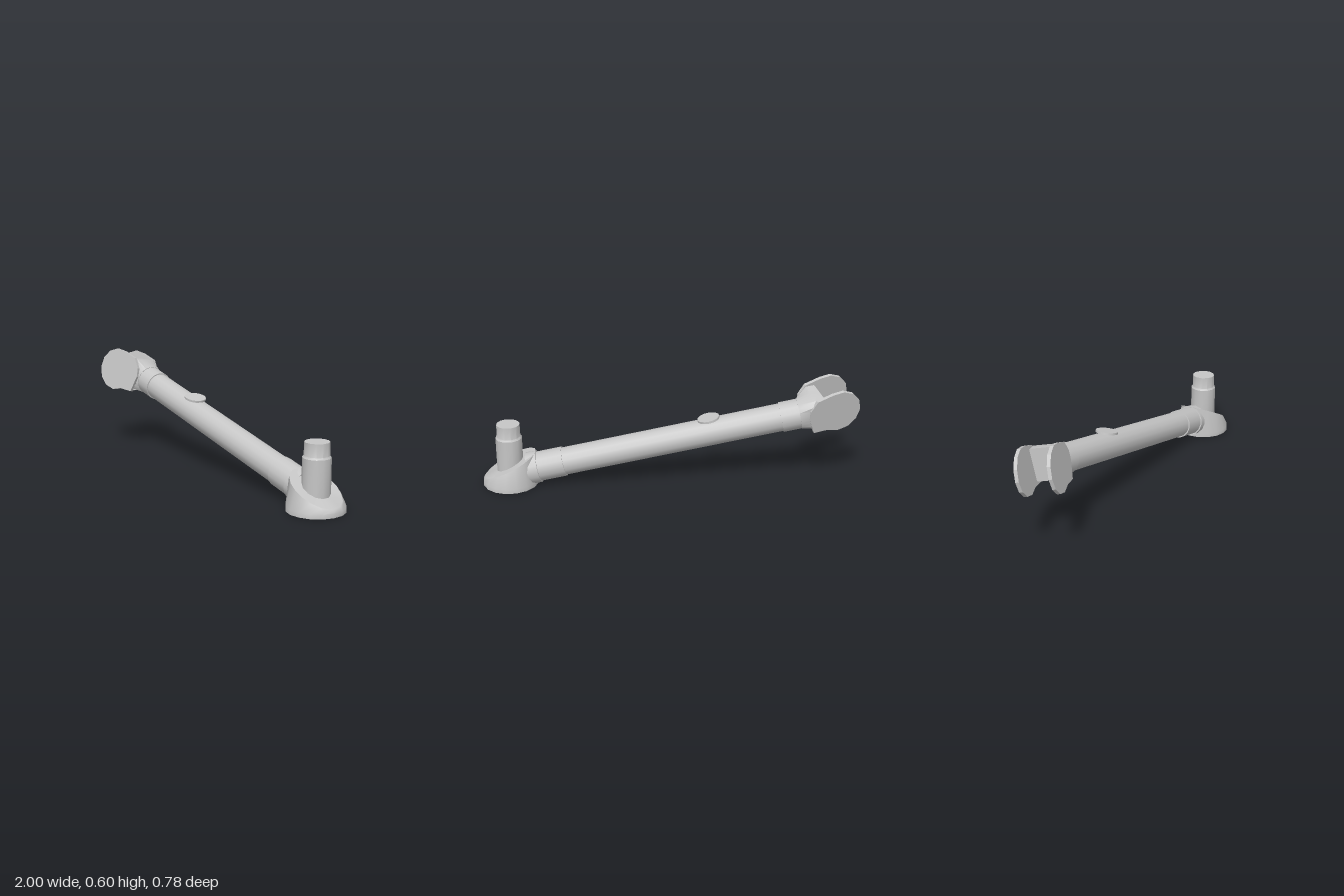
import * as THREE from 'three';
import { toCreasedNormals } from 'three/addons/utils/BufferGeometryUtils.js';

const V = (x, y, z) => new THREE.Vector3(x, y, z);
// Point on the sloping arm axis at a given x
const axisAt = (x) => V(x, 0.261 - 0.23 * x, -0.05 + 0.32 * x);

// Surface through rings of equal point count, with optional flat ends
function loft(rings, capStart, capEnd) {
  const n = rings[0].length, pos = [];
  const tri = (a, b, c) => pos.push(...a.toArray(), ...b.toArray(), ...c.toArray());
  for (let r = 0; r < rings.length - 1; r++) {
    for (let i = 0; i < n; i++) {
      const j = (i + 1) % n, A = rings[r], B = rings[r + 1];
      tri(A[i], A[j], B[j]);
      tri(A[i], B[j], B[i]);
    }
  }
  const cap = (ring, flip) => {
    const c = ring.reduce((s, p) => s.add(p), V(0, 0, 0)).divideScalar(n);
    for (let i = 0; i < n; i++) {
      const a = ring[i], b = ring[(i + 1) % n];
      if (flip) tri(c, b, a); else tri(c, a, b);
    }
  };
  if (capStart) cap(rings[0], true);
  if (capEnd) cap(rings[rings.length - 1], false);
  const g = new THREE.BufferGeometry();
  g.setAttribute('position', new THREE.Float32BufferAttribute(pos, 3));
  return toCreasedNormals(g, 0.65);
}

export function createModel() {
  const model = new THREE.Group();
  const grey = new THREE.MeshStandardMaterial({ color: 0xc6c6c6, side: THREE.DoubleSide });
  grey.name = 'grey';
  const add = (name, geo) => {
    const m = new THREE.Mesh(geo, grey);
    m.name = name;
    model.add(m);
    return m;
  };
  const up = V(0, 1, 0);
  const dir = axisAt(-1).sub(axisAt(0)).normalize();

  // Arm tube and its collars, all on one axis
  const rod = (name, x0, x1, r) => {
    const a = axisAt(x0), b = axisAt(x1);
    const m = add(name, new THREE.CylinderGeometry(r, r, a.distanceTo(b), 16));
    m.position.copy(a).add(b).multiplyScalar(0.5);
    m.quaternion.setFromUnitVectors(up, dir);
  };
  rod('armTube', 0.6, -0.62, 0.077);
  rod('lowerCollar', 0.7, 0.555, 0.083);
  rod('lowerSocket', 0.745, 0.69, 0.09);
  rod('upperCollar', -0.585, -0.69, 0.083);

  // Round button lying on top of the tube
  const normal = up.clone().addScaledVector(dir, -up.dot(dir)).normalize();
  const button = add('button', new THREE.CylinderGeometry(0.061, 0.061, 0.012, 20));
  button.position.copy(axisAt(-0.222)).addScaledVector(normal, 0.08);
  button.quaternion.setFromUnitVectors(up, normal);

  // Hollow foot: tapered wall cut off by a slanted plane, steeper toward the arm
  const foot = V(0.842, 0, 0.232), sides = 16, heading = Math.atan2(0.3, 0.95);
  const footRing = (heightAt) => Array.from({ length: sides }, (_, i) => {
    const t = -i / sides * Math.PI * 2, along = Math.cos(t - heading);
    let r = 0.155, y = 0;
    for (let k = 0; k < 8; k++) {
      y = heightAt(r * along);
      r = 0.155 - 0.33 * (1 + 0.85 * along) * Math.max(0, y - 0.025);
    }
    return V(foot.x + r * Math.cos(t), y, foot.z + r * Math.sin(t));
  });
  add('foot', loft([footRing(() => 0), footRing(() => 0.025), footRing((s) => 0.115 - 0.51 * s)], false, true));

  // Stepped upright post, its lower end following the slanted face
  const postRing = (r, y) => Array.from({ length: 12 }, (_, i) => {
    const t = -i / 12 * Math.PI * 2, c = Math.cos(t), s = Math.sin(t);
    const h = y ?? 0.11 - 0.51 * r * (0.95 * c + 0.3 * s);
    return V(foot.x + r * c, h, foot.z + r * s);
  });
  add('post', loft([postRing(0.074), postRing(0.074, 0.275), postRing(0.066, 0.285), postRing(0.065, 0.355)], false, true));

  // Fork frame, rolled slightly about x
  const fork = new THREE.Group();
  fork.name = 'fork';
  fork.position.set(-0.875, 0.46, -0.272);
  fork.rotation.x = -0.2;
  model.add(fork);

  // Two rounded cheeks with a tapering root
  const outline = new THREE.Shape();
  for (let i = 0; i <= 8; i++) {
    const t = Math.PI * (0.36 + 1.28 * i / 8);
    const x = Math.cos(t) * 0.125, y = Math.sin(t) * 0.125;
    if (i) outline.lineTo(x, y); else outline.moveTo(x, y);
  }
  outline.lineTo(0.135, -0.122);
  outline.lineTo(0.172, -0.03);
  outline.lineTo(0.172, 0.02);
  outline.lineTo(0.14, 0.08);
  const cheek = new THREE.ExtrudeGeometry(outline, { depth: 0.019, bevelEnabled: false });
  for (const [name, z] of [['frontCheek', 0.076], ['backCheek', -0.095]]) {
    const m = new THREE.Mesh(toCreasedNormals(cheek, 0.3), grey);
    m.name = name;
    m.position.z = z;
    fork.add(m);
  }

  // Root block blending from a rectangle into the round collar
  fork.updateMatrix();
  const inverse = fork.matrix.clone().invert();
  const end = axisAt(-0.68).applyMatrix4(inverse);
  const axis = dir.clone().transformDirection(inverse);
  const n = 24;
  const rootRing = (x, hy, hz, cy) => Array.from({ length: n }, (_, i) => {
    const t = (i + 0.5) / n * Math.PI * 2, c = Math.cos(t), s = Math.sin(t);
    const k = 1 / Math.max(Math.abs(c), Math.abs(s));
    return V(x, cy + hy * c * k, hz * s * k);
  });
  const collarRing = Array.from({ length: n }, (_, i) => {
    const t = (i + 0.5) / n * Math.PI * 2;
    const p = V(0, Math.cos(t), Math.sin(t));
    p.addScaledVector(axis, -p.dot(axis)).normalize().multiplyScalar(0.085);
    return p.add(end);
  });
  const root = new THREE.Mesh(loft([
    rootRing(0.09, 0.09, 0.093, -0.01),
    rootRing(0.14, 0.09, 0.094, -0.015),
    collarRing,
  ], true, true), grey);
  root.name = 'forkRoot';
  fork.add(root);

  return model;
}
